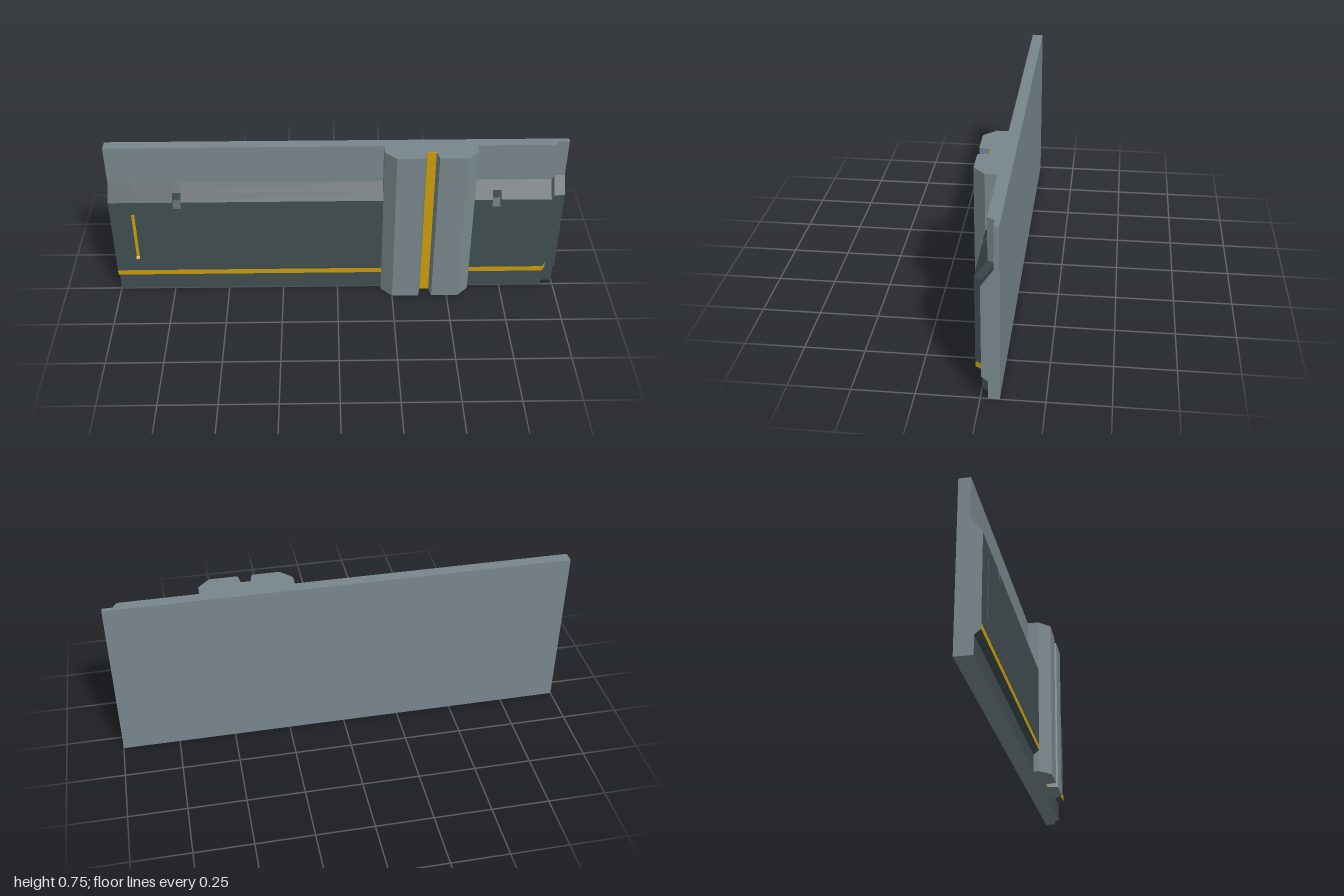
import * as THREE from 'three';

const BACK = -0.075;
const HEIGHT = 0.75;

const makeMaterial = (name, color) => {
  const m = new THREE.MeshStandardMaterial({ color });
  m.name = name;
  return m;
};

// Panel front section as [height, depth], bottom to top
const SECTION = [
  [0, 0], [0.08, 0], [0.1, 0.025], [0.125, 0.025], [0.19, 0.025], [0.2, 0.025],
  [0.43, 0.025], [0.44, 0.025], [0.465, 0.025], [0.5, 0.025], [0.535, 0.001],
  [0.573, -0.025], [HEIGHT, -0.025],
];
const LAST = SECTION.length - 1;
const STRIPE = 2;

// One section of a wing at x; kind describes the strip that starts here
function station(x, { setback = 0, slot = false, notch = false, stripe = true } = {}) {
  const points = SECTION.map(([y, z], i) => {
    let depth = z - setback;
    if (slot && (i === 5 || i === 6)) depth = 0.015;
    if (notch && i === 9) depth = 0.006;
    return new THREE.Vector3(x, y, depth);
  });
  return { points, slot, stripe };
}

// A cut with straight walls between x0 and x1
const cut = (x0, x1, kind) => [station(x0), station(x0, kind), station(x1, kind), station(x1)];

// Closed wing of the wall, lofted through its stations
function makeWing(name, stations, materials) {
  const faces = { frame: [], plating: [], accent: [] };
  const quad = (part, a, b, c, d) => {
    for (const p of [a, b, c, a, c, d]) faces[part].push(p.x, p.y, p.z);
  };
  const back = (p) => new THREE.Vector3(p.x, p.y, BACK);

  for (let s = 0; s < stations.length - 1; s++) {
    const p = stations[s].points;
    const q = stations[s + 1].points;
    const isSlotFloor = stations[s].slot && stations[s + 1].slot;
    for (let i = 0; i < LAST; i++) {
      let part = i === LAST - 1 ? 'frame' : 'plating';
      if (i === STRIPE && stations[s].stripe) part = 'accent';
      if (isSlotFloor && i >= 4 && i <= 6) part = 'accent';
      quad(part, p[i], q[i], q[i + 1], p[i + 1]);
    }
    if (p[0].x === q[0].x) continue;
    // Top, underside and back
    quad('frame', p[LAST], q[LAST], back(q[LAST]), back(p[LAST]));
    quad('frame', back(p[0]), back(q[0]), q[0], p[0]);
    quad('frame', back(q[0]), back(p[0]), back(p[LAST]), back(q[LAST]));
  }

  // End caps
  const first = stations[0].points;
  const end = stations[stations.length - 1].points;
  for (let i = 0; i < LAST; i++) {
    quad('frame', end[i], back(end[i]), back(end[i + 1]), end[i + 1]);
    quad('frame', first[i + 1], back(first[i + 1]), back(first[i]), first[i]);
  }

  const wing = new THREE.Group();
  wing.name = name;
  for (const part of Object.keys(faces)) {
    const geometry = new THREE.BufferGeometry();
    geometry.setAttribute('position', new THREE.Float32BufferAttribute(faces[part], 3));
    geometry.computeVertexNormals();
    const mesh = new THREE.Mesh(geometry, materials[part]);
    mesh.name = part;
    wing.add(mesh);
  }
  return wing;
}

// Pillar with chamfered sides and a central channel
function makePillar(materials) {
  const pillar = new THREE.Group();
  pillar.name = 'pillar';
  const half = [[0.2, 0.025], [0.15, 0.075], [0.03, 0.075], [0.02, 0.025]];
  const outline = [
    [-0.2, BACK], [0.2, BACK], ...half,
    ...half.map(([x, z]) => [-x, z]).reverse(),
  ];
  const shape = new THREE.Shape(outline.map(([x, z]) => new THREE.Vector2(x, -z)));
  const geometry = new THREE.ExtrudeGeometry(shape, { depth: HEIGHT, bevelEnabled: false });
  geometry.rotateX(-Math.PI / 2);
  const body = new THREE.Mesh(geometry, materials.frame);
  body.name = 'pillarBody';

  const strip = new THREE.Mesh(new THREE.BoxGeometry(0.04, HEIGHT, 0.003), materials.accent);
  strip.name = 'channelStrip';
  strip.position.set(0, HEIGHT / 2, 0.0265);

  pillar.add(body, strip);
  pillar.position.x = 0.4;
  return pillar;
}

export function createModel() {
  const materials = {
    frame: makeMaterial('light grey frame', 0x78878c),
    plating: makeMaterial('dark grey plating', 0x414e52),
    accent: makeMaterial('yellow accent', 0xcc9e0a),
  };

  const model = new THREE.Group();
  model.name = 'wallPanel';

  // Long wing with the light slot and one notch
  model.add(makeWing('rightWing', [
    station(-1),
    ...cut(-0.908, -0.892, { slot: true }),
    ...cut(-0.72, -0.684, { notch: true }),
    station(0.2),
  ], materials));

  model.add(makePillar(materials));

  // Short wing with one notch and the set-back end
  model.add(makeWing('leftWing', [
    station(0.6),
    ...cut(0.68, 0.716, { notch: true }),
    station(0.937),
    station(0.955, { setback: 0.03, stripe: false }),
    station(1, { setback: 0.03, stripe: false }),
  ], materials));

  return model;
}
